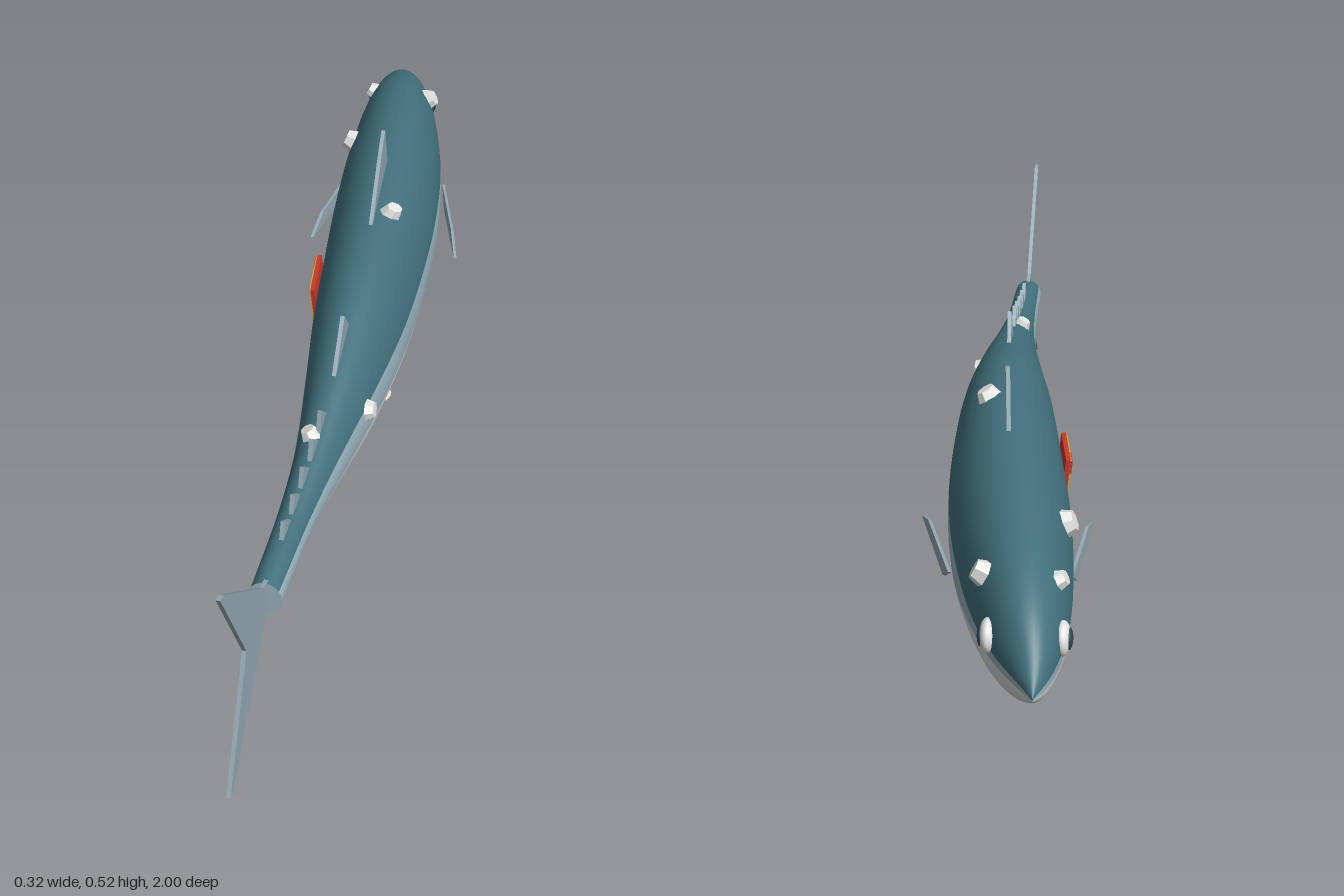
import * as THREE from 'three';

const mat = (name, color, side = THREE.FrontSide) => {
  const m = new THREE.MeshStandardMaterial({ color, side });
  m.name = name;
  return m;
};

// Body stations: z, centre x, half width, top y, bottom y, back colour edge y, belly colour edge y
const STATIONS = [
  [-1, -0.1, 0, 0.247, 0.243, 0.246, 0.244],
  [-0.96, -0.095, 0.024, 0.285, 0.215, 0.253, 0.243],
  [-0.9, -0.084, 0.05, 0.335, 0.178, 0.256, 0.24],
  [-0.8, -0.067, 0.078, 0.382, 0.135, 0.258, 0.235],
  [-0.6, -0.035, 0.106, 0.415, 0.085, 0.276, 0.216],
  [-0.4, -0.009, 0.114, 0.422, 0.065, 0.28, 0.21],
  [-0.2, 0.013, 0.108, 0.42, 0.07, 0.28, 0.208],
  [0, 0.03, 0.095, 0.405, 0.09, 0.28, 0.21],
  [0.2, 0.043, 0.072, 0.362, 0.125, 0.279, 0.215],
  [0.4, 0.05, 0.046, 0.315, 0.173, 0.272, 0.222],
  [0.55, 0.05, 0.034, 0.29, 0.2, 0.265, 0.23],
  [0.75, 0.05, 0.03, 0.277, 0.208, 0.262, 0.235],
];
const interp = new THREE.CubicInterpolant(
  STATIONS.map((s) => s[0]), STATIONS.flatMap((s) => s.slice(1)), 6, new Float32Array(6));

function station(z) {
  const [cx, hx, top, bottom, back, belly] = interp.evaluate(Math.min(0.75, Math.max(-1, z)));
  const cy = (top + bottom) / 2, hy = (top - bottom) / 2;
  const angle = (y) => Math.asin(THREE.MathUtils.clamp((y - cy) / Math.max(hy, 0.001), -0.9, 0.9));
  return { cx, cy, hx, hy, back: angle(back), belly: angle(belly) };
}
const spine = (z) => station(z).cx;

// One smooth skin, with its colour bands as material groups
function bodyGeometry() {
  const RINGS = 70, bands = [16, 4, 16, 4], cols = 40;
  const pos = [], index = [], geo = new THREE.BufferGeometry();
  for (let i = 0; i <= RINGS; i++) {
    const z = -1 + 1.75 * Math.pow(i / RINGS, 1.2);
    const s = station(z);
    const ends = [s.back, Math.PI - s.back, Math.PI - s.belly, 2 * Math.PI + s.belly, 2 * Math.PI + s.back];
    bands.forEach((n, b) => {
      for (let k = 0; k < n; k++) {
        const a = THREE.MathUtils.lerp(ends[b], ends[b + 1], k / n);
        pos.push(s.cx + s.hx * Math.cos(a), s.cy + s.hy * Math.sin(a), z);
      }
    });
  }
  let first = 0;
  bands.forEach((n, band) => {
    const start = index.length;
    for (let i = 0; i < RINGS; i++) {
      for (let j = first; j < first + n; j++) {
        const a = i * cols + j, b = i * cols + (j + 1) % cols;
        index.push(a, b, a + cols, b, b + cols, a + cols);
      }
    }
    geo.addGroup(start, index.length - start, [0, 1, 2, 1][band]);
    first += n;
  });
  geo.setAttribute('position', new THREE.Float32BufferAttribute(pos, 3));
  geo.setIndex(index);
  geo.computeVertexNormals();
  return geo;
}

// Thin plate from a (z, y) outline, shifted sideways by the rule xAt(z, y)
function plate(name, outline, xAt, material, thick = 0.008) {
  const shape = new THREE.Shape(outline.map(([z, y]) => new THREE.Vector2(z, y)));
  const geo = new THREE.ExtrudeGeometry(shape, { depth: thick, bevelEnabled: false });
  geo.translate(0, 0, -thick / 2).rotateY(-Math.PI / 2);
  const p = geo.attributes.position;
  for (let i = 0; i < p.count; i++) p.setX(i, p.getX(i) + xAt(p.getZ(i), p.getY(i)));
  geo.computeVertexNormals();
  const mesh = new THREE.Mesh(geo, material);
  mesh.name = name;
  return mesh;
}

export function createModel() {
  const group = new THREE.Group();
  group.name = 'fish';
  const back = mat('back teal', 0x42717d);
  const flank = mat('flank silver blue', 0x9ab5bf);
  const belly = mat('belly pale grey', 0xdadddd);
  const fin = mat('fin blue grey', 0x93a9b3, THREE.DoubleSide);
  const shell = mat('barnacle white', 0xe4e4e2);
  const pupilMat = mat('pupil dark teal', 0x2c4a54);
  const gold = mat('tag gold', 0xd0ac2a);
  const red = mat('tag red', 0xc8382a);
  const add = (name, geo, material) => {
    const mesh = new THREE.Mesh(geo, material);
    mesh.name = name;
    group.add(mesh);
    return mesh;
  };

  add('body', bodyGeometry(), [back, flank, belly]);
  const end = station(0.75);
  const cap = add('tailStump', new THREE.CircleGeometry(1, 32), flank);
  cap.scale.set(end.hx, end.hy, 1);
  cap.position.set(end.cx, end.cy, 0.75);

  // Upright fins along the spine
  const upright = {
    firstDorsalFin: [[-0.14, 0.405], [-0.15, 0.42], [-0.3, 0.515], [-0.335, 0.526], [-0.39, 0.41]],
    secondDorsalFin: [[0.27, 0.335], [0.175, 0.43], [0.125, 0.37]],
    analFin: [[0.3, 0.16], [0.21, 0.066], [0.155, 0.13]],
    tailFin: [[0.74, 0.277], [0.77, 0.285], [0.985, 0.478], [1, 0.48], [0.88, 0.243], [1, 0.002],
      [0.985, 0.002], [0.77, 0.2], [0.74, 0.208]],
  };
  for (const [name, pts] of Object.entries(upright)) group.add(plate(name, pts, spine, fin));

  // Rows of finlets above and below the tail
  for (let i = 0; i < 5; i++) {
    const z = 0.365 + i * 0.064;
    for (const side of [1, -1]) {
      const s = station(z), y = s.cy + side * s.hy, h = side * (0.04 - i * 0.002);
      const pts = [[z - 0.03, y], [z + 0.012, y + h], [z + 0.028, y - side * 0.012], [z - 0.03, y - side * 0.01]];
      group.add(plate(side > 0 ? 'upperFinlet' : 'lowerFinlet', pts, spine, fin));
    }
  }

  // Paired fins
  const pectoral = [[-0.59, 0.24], [-0.41, 0.247], [-0.345, 0.222], [-0.54, 0.205]];
  group.add(plate('leftPectoralFin', pectoral, (z) => 0.158 + (z + 0.345) * 0.32, fin, 0.006));
  group.add(plate('rightPectoralFin', pectoral, (z) => -0.16 - (z + 0.345) * 0.1, fin, 0.006));
  const pelvic = [[-0.5, 0.072], [-0.38, 0.062], [-0.34, 0.032], [-0.455, 0.04]];
  for (const [name, x] of [['leftPelvicFin', 0], ['rightPelvicFin', -0.04]]) {
    group.add(plate(name, pelvic, (z, y) => x + (0.065 - y) * 0.6, fin));
  }

  // Eyes with flat pupils
  for (const side of [1, -1]) {
    const s = station(-0.855), x = s.cx + side * s.hx;
    const eye = add('eye', new THREE.SphereGeometry(0.03, 24, 14), shell);
    eye.scale.set(0.5, 1, 1);
    eye.position.set(x - side * 0.003, 0.275, -0.855);
    const pupil = add('pupil', new THREE.SphereGeometry(0.019, 20, 12), pupilMat);
    pupil.scale.set(0.35, 1, 1);
    pupil.position.set(x + side * 0.008, 0.276, -0.857);
  }

  // Barnacles: z, angle round the body, size
  const barnacles = [[-0.77, 0.7, 0.03], [-0.78, 2.45, 0.024], [-0.57, 2.6, 0.032], [-0.21, 1.25, 0.03],
    [0.245, 0.25, 0.026], [0.39, 1.9, 0.023], [0.01, -0.98, 0.026], [-0.45, 4.1, 0.024]];
  barnacles.forEach(([z, a, r], i) => {
    const s = station(z);
    const geo = new THREE.CylinderGeometry(r * 0.6, r, r * 1.1, 7, 1);
    const b = add('barnacle', geo.toNonIndexed(), shell);
    b.geometry.computeVertexNormals();
    b.position.set(s.cx + s.hx * Math.cos(a), s.cy + s.hy * Math.sin(a), z);
    const out = new THREE.Vector3(Math.cos(a) / s.hx, Math.sin(a) / s.hy, 0).normalize();
    b.quaternion.setFromUnitVectors(new THREE.Vector3(0, 1, 0), out);
    b.rotateY(i * 1.3);
    b.scale.set(1, 1, 0.8 + 0.1 * (i % 3));
  });

  // Square tag on the right flank
  const tagX = (offset) => (z, y) => -0.092 + (z + 0.145) * 0.14 - (y - 0.232) * 0.1 - offset;
  const square = (m) => [[-0.207 + m, 0.184 + m], [-0.083 - m, 0.184 + m], [-0.083 - m, 0.28 - m], [-0.207 + m, 0.28 - m]];
  group.add(plate('tagBacking', square(0), tagX(0), red, 0.009));
  group.add(plate('tagFace', square(0.003), tagX(0.005), gold, 0.005));
  group.add(plate('tagCorner', [[-0.204, 0.277], [-0.204, 0.25], [-0.165, 0.277]], tagX(0.007), red, 0.004));
  return group;
}
